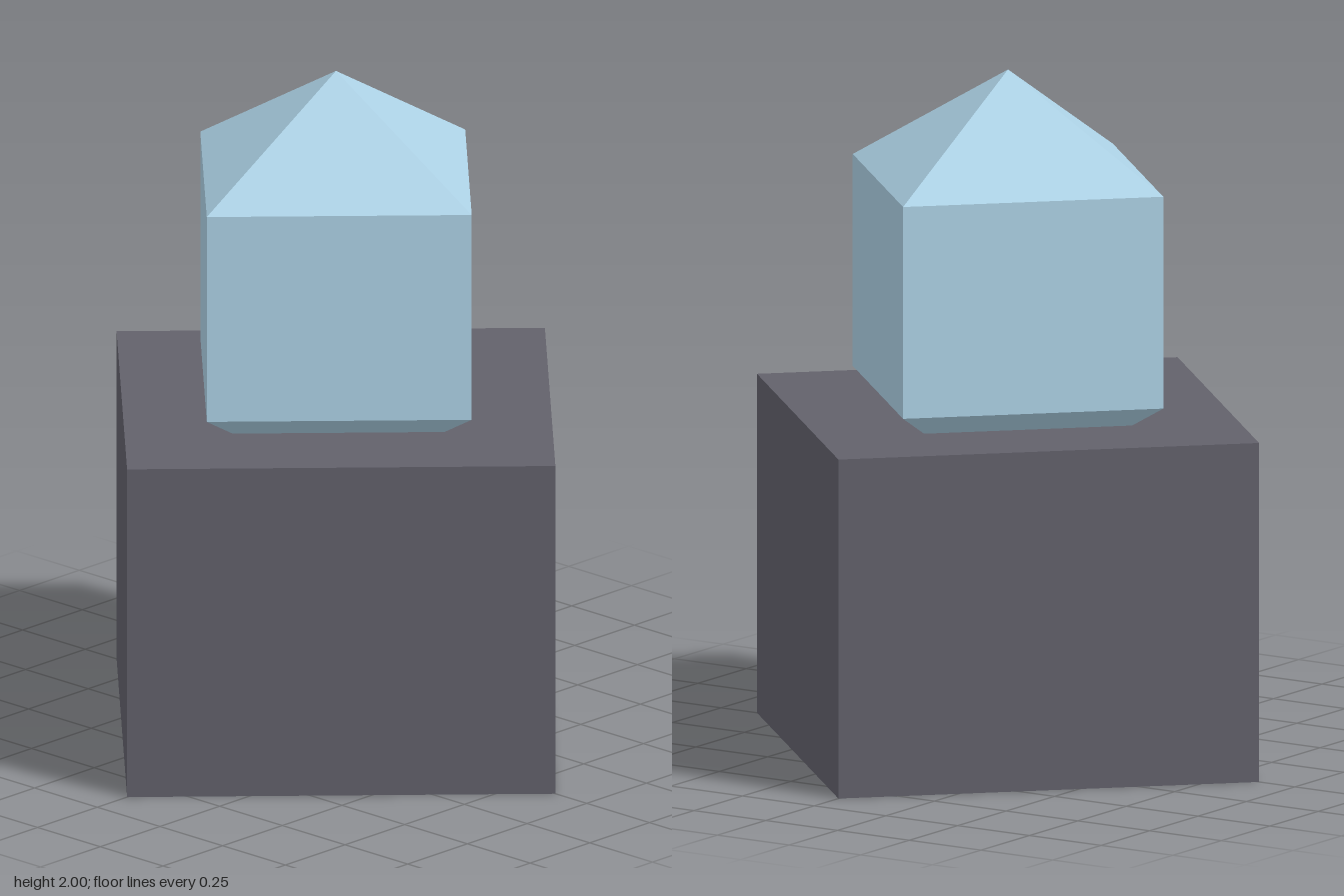
import * as THREE from 'three';

function makeMaterial(name, color) {
  const material = new THREE.MeshStandardMaterial({ color, flatShading: true });
  material.name = name;
  return material;
}

export function createModel() {
  const model = new THREE.Group();
  model.name = 'crystalOnPedestal';

  const addPart = (name, geometry, material, y) => {
    const mesh = new THREE.Mesh(geometry.toNonIndexed(), material);
    mesh.geometry.computeVertexNormals();
    mesh.name = name;
    mesh.position.y = y;
    model.add(mesh);
  };

  // Square pedestal with its corners on the x and z axes
  addPart('pedestal', new THREE.CylinderGeometry(0.875, 0.875, 1, 4),
    makeMaterial('dark stone', 0x62616b), 0.5);

  // Four-sided crystal with pointed ends, its lower tip sunk into the pedestal
  addPart('crystal', new THREE.SphereGeometry(0.625, 4, 3),
    makeMaterial('pale blue', 0xadd2e6), 1.375);

  return model;
}
